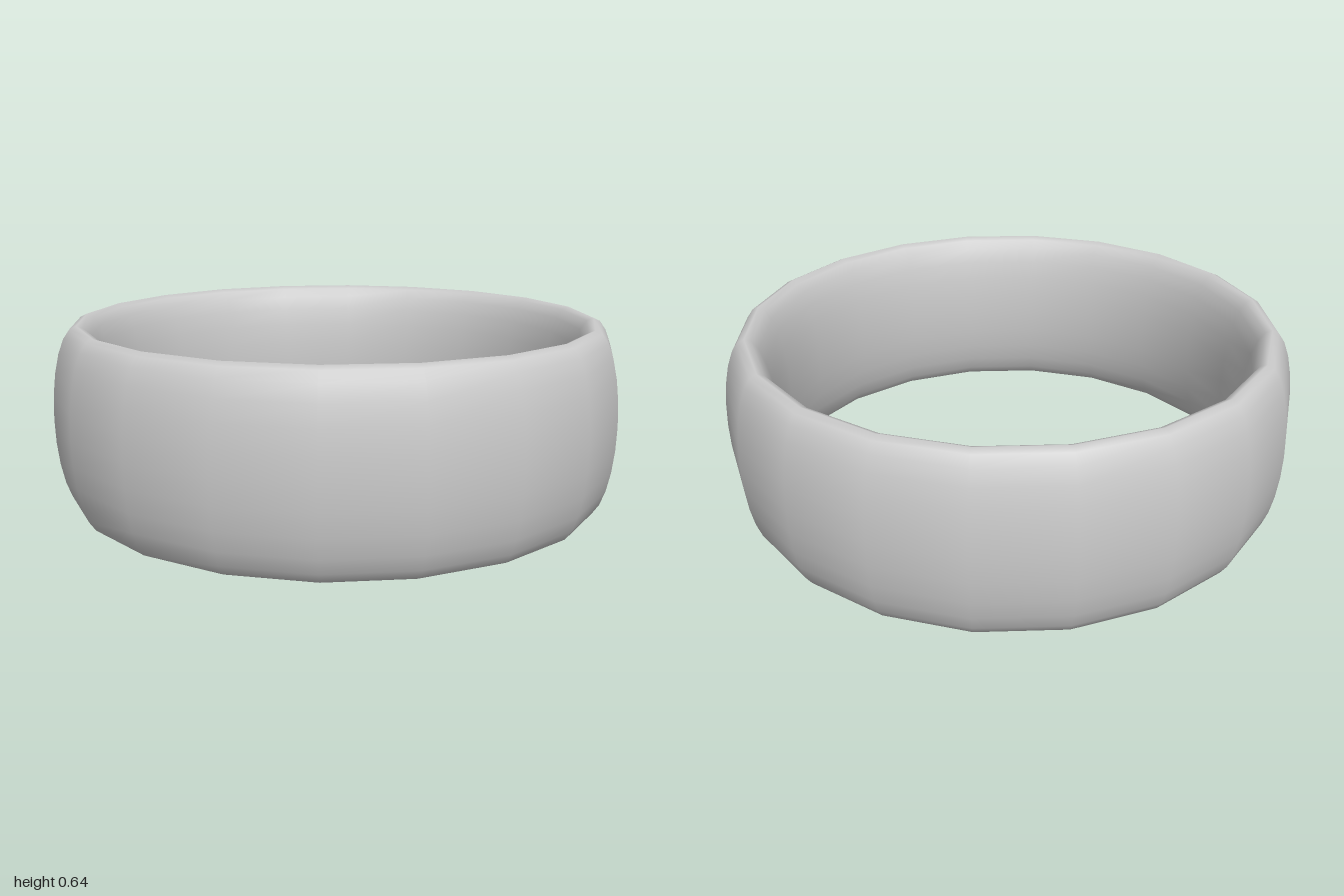
import * as THREE from 'three';

export function createModel() {
  const model = new THREE.Group();
  model.name = 'ring';

  const innerRadius = 0.82, outerRadius = 1, height = 0.64;
  const tube = (outerRadius - innerRadius) / 2;

  // Twenty-sided band with a tall elliptical cross-section
  const geometry = new THREE.TorusGeometry(innerRadius + tube, tube, 24, 20);
  geometry.rotateX(-Math.PI / 2);
  geometry.scale(1, height / (2 * tube), 1);
  geometry.translate(0, height / 2, 0);

  const band = new THREE.Mesh(geometry, new THREE.MeshStandardMaterial({ color: 0xcccccc }));
  band.name = 'band';
  model.add(band);
  return model;
}
